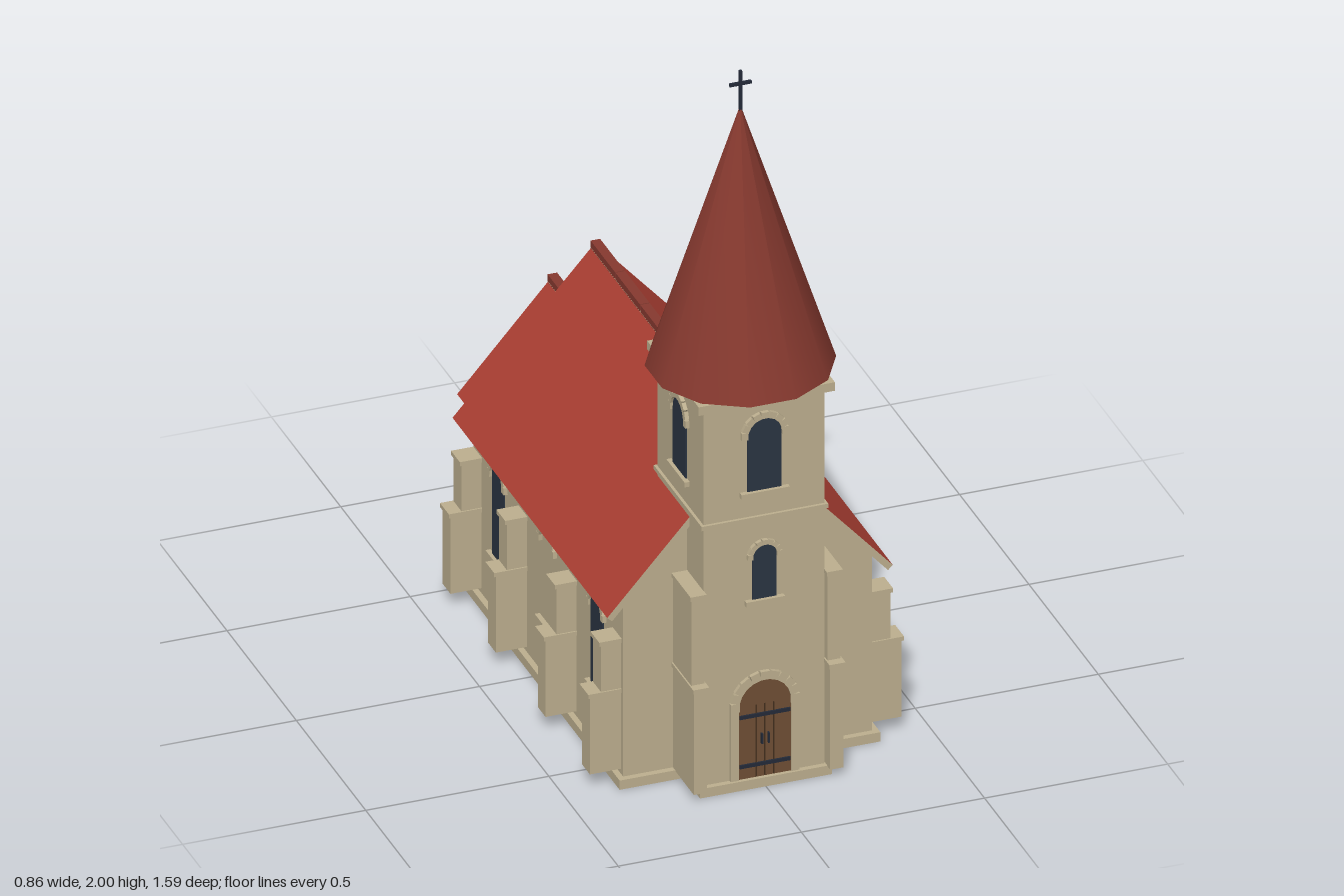
import * as THREE from 'three';

const mat = (name, color, side = THREE.FrontSide) => {
  const m = new THREE.MeshStandardMaterial({ color, side });
  m.name = name;
  return m;
};

export function createModel() {
  const stone = mat('sandstone', 0xbcae8e);
  const tile = mat('roofTile', 0xac3f33);
  const spireRed = mat('spireTile', 0x86392f);
  const glass = mat('darkGlass', 0x2a3442);
  const wood = mat('doorWood', 0x6e4e34);
  const woodDark = mat('doorSeam', 0x46311f);
  const iron = mat('iron', 0x232a38);

  const model = new THREE.Group();
  model.name = 'church';

  const add = (parent, name, geo, material) => {
    const m = new THREE.Mesh(geo, material);
    m.name = name;
    parent.add(m);
    return m;
  };
  // Box given by its lower and upper limits
  const box = (parent, name, material, x0, x1, y0, y1, z0, z1) => {
    const m = add(parent, name, new THREE.BoxGeometry(x1 - x0, y1 - y0, z1 - z0), material);
    m.position.set((x0 + x1) / 2, (y0 + y1) / 2, (z0 + z1) / 2);
    return m;
  };
  const group = (name, x = 0, z = 0, ry = 0) => {
    const g = new THREE.Group();
    g.name = name;
    g.position.set(x, 0, z);
    g.rotation.y = ry;
    model.add(g);
    return g;
  };
  const gable = (halfW, yBase, yEave, yTop, depth) => {
    const s = new THREE.Shape([[-halfW, yBase], [halfW, yBase], [halfW, yEave], [0, yTop], [-halfW, yEave]]
      .map(([x, y]) => new THREE.Vector2(x, y)));
    return new THREE.ExtrudeGeometry(s, { depth, bevelEnabled: false });
  };

  // Foundation: floor slab with a raised rim below the nave and the tower
  const rim = (name, hx, z0, z1) => {
    const t = 0.015;
    box(model, name, stone, -hx, hx, 0, 0.027, z1 - t, z1);
    box(model, name, stone, -hx, hx, 0, 0.027, z0, z0 + t);
    for (const s of [-1, 1]) box(model, name, stone, s * (hx - t / 2) - t / 2, s * (hx - t / 2) + t / 2, 0, 0.027, z0, z1);
  };
  rim('naveFoundation', 0.356, -0.48, 0.63);
  rim('towerFoundation', 0.18, 0.385, 0.745);
  box(model, 'naveFloor', stone, -0.35, 0.35, 0.012, 0.027, -0.475, 0.625);
  box(model, 'towerFloor', stone, -0.175, 0.175, 0.012, 0.027, 0.6, 0.74);

  // Nave and chancel walls
  add(model, 'naveWalls', gable(0.34, 0.025, 0.545, 0.925, 1.08), stone).position.z = -0.467;
  add(model, 'chancelBackWall', gable(0.222, 0.028, 0.42, 0.672, 0.02), stone).position.z = -0.775;
  for (const s of [-1, 1]) {
    box(model, 'chancelSideWall', stone, s * 0.212 - 0.01, s * 0.212 + 0.01, 0.028, 0.42, -0.765, -0.46);
  }

  // Pitched roofs: tiled on top only, with ridge tiles laid in pieces
  const roof = (name, halfW, yEave, yRidge, z0, z1, capEnd, pieces) => {
    const rise = yRidge - yEave, len = Math.hypot(halfW, rise), t = 0.018;
    for (const s of [-1, 1]) {
      const slab = add(model, name, new THREE.BoxGeometry(len, t, z1 - z0), [stone, stone, tile, stone, stone, stone]);
      slab.rotation.z = -s * Math.atan2(rise, halfW);
      slab.position.set(s * (halfW / 2 - rise / len * t / 2), (yEave + yRidge) / 2 - halfW / len * t / 2, (z0 + z1) / 2);
    }
    const step = (capEnd - z0) / pieces;
    for (let i = 0; i < pieces; i++) {
      const a = z0 + i * step;
      box(model, 'ridgeTile', spireRed, -0.013, 0.013, yRidge - 0.014, yRidge + 0.008, a, a + step - 0.003);
    }
  };
  roof('naveRoof', 0.39, 0.51, 0.946, -0.485, 0.63, 0.41, 5);
  roof('chancelRoof', 0.26, 0.39, 0.684, -0.795, -0.466, -0.47, 2);

  // Tower
  const tz = 0.565;
  box(model, 'towerShaft', stone, -0.165, 0.165, 0.025, 1.13, tz - 0.165, tz + 0.165);
  box(model, 'towerStringCourse', stone, -0.173, 0.173, 0.778, 0.79, tz - 0.173, tz + 0.173);
  box(model, 'towerCornice', stone, -0.186, 0.186, 1.125, 1.15, tz - 0.186, tz + 0.186);

  // Spire and cross
  const spire = add(model, 'spire', new THREE.ConeGeometry(0.246, 0.75, 12), spireRed);
  spire.position.set(0, 1.525, 0.56);
  spire.rotation.y = Math.PI / 12;
  box(model, 'crossPost', iron, -0.004, 0.004, 1.88, 2, 0.556, 0.564);
  box(model, 'crossArm', iron, -0.03, 0.03, 1.958, 1.966, 0.556, 0.564);

  // Stepped buttresses, projecting along local +z
  const buttress = (g, w, base, steps) => {
    const h = w / 2;
    for (const [depth, top] of steps) {
      box(g, 'buttressStep', stone, -h, h, base, top - 0.012, -0.02, depth);
      box(g, 'buttressCap', stone, -h - 0.004, h + 0.004, top - 0.012, top, -0.02, depth + 0.006);
    }
  };
  for (const s of [-1, 1]) {
    for (const z of [0.57, 0.25, -0.108, -0.435]) {
      buttress(group('naveButtress', s * 0.34, z, s * Math.PI / 2), 0.056, 0.042, [[0.085, 0.278], [0.055, 0.425]]);
    }
    buttress(group('towerButtress', s * 0.186, 0.63), 0.036, 0.025, [[0.134, 0.335], [0.115, 0.597]]);
  }

  // Round-headed panel
  const archPanel = (w, y0, y1, depth) => {
    const r = w / 2, s = new THREE.Shape();
    s.moveTo(-r, y0);
    s.lineTo(r, y0);
    s.lineTo(r, y1 - r);
    s.absarc(0, y1 - r, r, 0, Math.PI, false);
    return new THREE.ExtrudeGeometry(s, { depth, bevelEnabled: false, curveSegments: 10 });
  };
  // Ring of wedge stones around an arch head
  const archStones = (g, r, yc, t, n) => {
    const a0 = -0.15, span = Math.PI + 0.3;
    for (let i = 0; i < n; i++) {
      const a = a0 + (i + 0.5) * span / n;
      const m = add(g, 'archStone', new THREE.BoxGeometry(t, (r + t / 2) * span / n * 0.97, 0.03), stone);
      m.position.set(Math.cos(a) * (r + t / 2), yc + Math.sin(a) * (r + t / 2), -0.004);
      m.rotation.z = a;
    }
  };
  const windowAt = (x, z, ry, w, y0, y1, t = 0.018, glazed = true) => {
    const g = group('window', x, z, ry);
    if (glazed) add(g, 'windowGlass', archPanel(w, y0, y1, 0.006), glass).position.z = -0.002;
    archStones(g, w / 2, y1 - w / 2, t, 9);
    box(g, 'windowSill', stone, -w / 2 - 0.02, w / 2 + 0.02, y0 - 0.014, y0, -0.01, 0.014);
  };
  // Belfry windows on all four faces
  for (let i = 0; i < 4; i++) {
    const a = i * Math.PI / 2;
    windowAt(Math.sin(a) * 0.165, tz + Math.cos(a) * 0.165, a, 0.092, 0.865, 1.075);
  }
  windowAt(0, tz + 0.165, 0, 0.066, 0.547, 0.705, 0.014);
  // Nave, blind middle and chancel side windows
  for (const s of [-1, 1]) {
    const a = s * Math.PI / 2;
    windowAt(s * 0.34, 0.432, a, 0.086, 0.19, 0.465);
    windowAt(s * 0.34, -0.28, a, 0.086, 0.19, 0.465);
    windowAt(s * 0.34, 0.075, a, 0.086, 0.19, 0.465, 0.018, false);
    windowAt(s * 0.222, -0.632, a, 0.064, 0.198, 0.365, 0.014);
  }
  windowAt(0, -0.775, Math.PI, 0.075, 0.185, 0.375, 0.016);

  // Entrance door with planks, hinge straps and pulls
  const door = group('door', 0, tz + 0.165);
  add(door, 'doorLeaf', archPanel(0.144, 0.028, 0.312, 0.006), wood);
  archStones(door, 0.07, 0.24, 0.024, 11);
  for (const x of [-0.024, 0, 0.024]) box(door, 'doorSeam', woodDark, x - 0.0015, x + 0.0015, 0.03, 0.24, 0.004, 0.008);
  for (const y of [0.066, 0.21]) box(door, 'hingeStrap', iron, -0.069, 0.069, y - 0.005, y + 0.005, 0.004, 0.011);
  for (const s of [-1, 1]) {
    box(door, 'doorPull', iron, s * 0.009 - 0.002, s * 0.009 + 0.002, 0.125, 0.155, 0.004, 0.014);
    box(door, 'doorJamb', stone, s * 0.083 - 0.011, s * 0.083 + 0.011, 0.028, 0.23, -0.01, 0.01);
  }
  return model;
}
